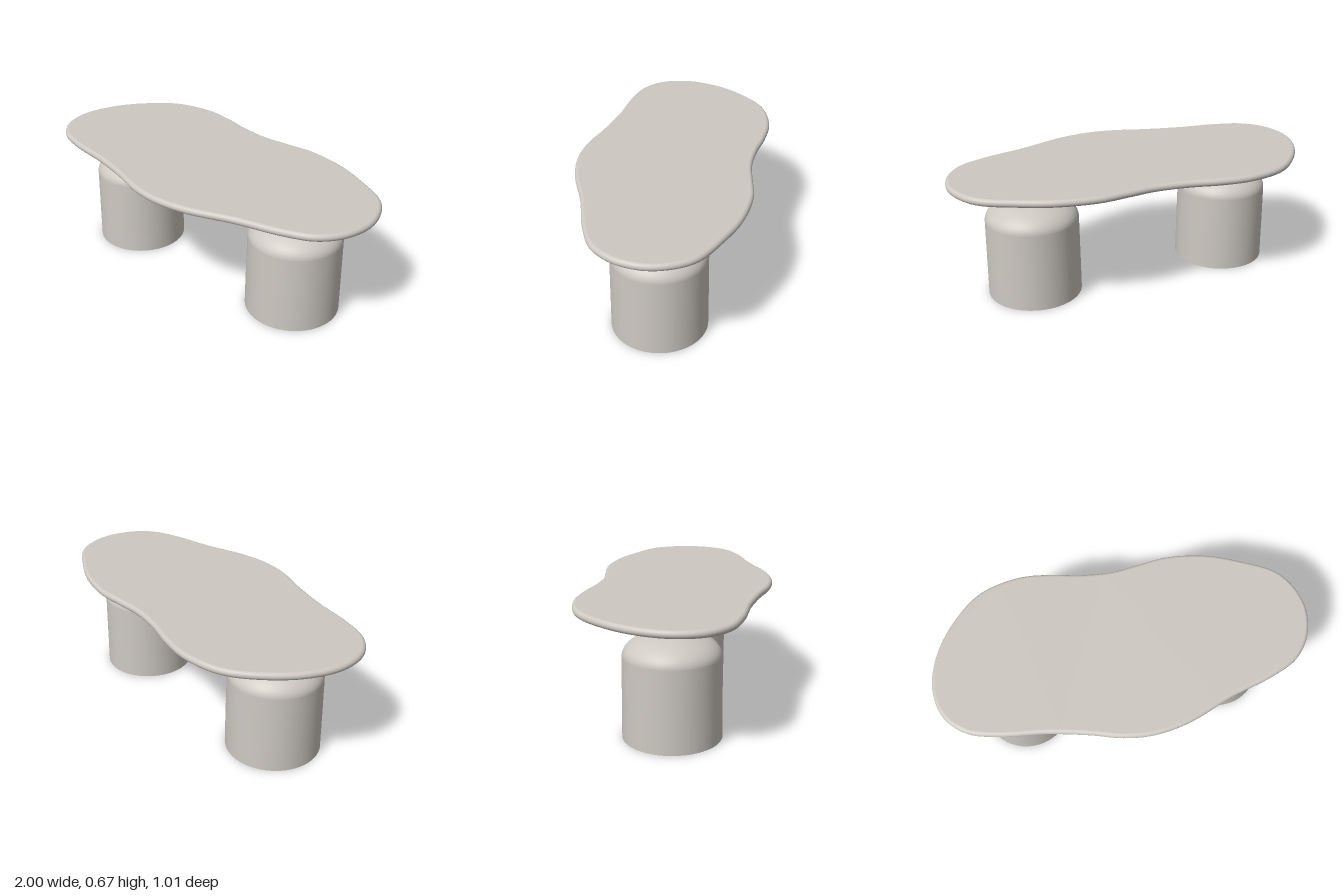
import * as THREE from 'three';
import { mergeGeometries } from 'three/addons/utils/BufferGeometryUtils.js';

const stone = new THREE.MeshStandardMaterial({ color: 0xcdc8c1 });
stone.name = 'warm grey stone';

// Freeform outline of the top as (x, z) points, running round the table
const OUTLINE = [
  [-0.465, -0.51], [-0.68, -0.46], [-0.85, -0.315], [-0.957, -0.15], [-1, 0.02],
  [-0.968, 0.176], [-0.866, 0.283], [-0.716, 0.335], [-0.465, 0.376], [-0.262, 0.428],
  [-0.1, 0.48], [0.06, 0.5], [0.246, 0.475], [0.487, 0.392], [0.727, 0.328],
  [0.872, 0.262], [0.963, 0.15], [1, 0], [0.973, -0.134], [0.904, -0.241],
  [0.727, -0.346], [0.567, -0.415], [0.353, -0.455], [0.19, -0.444], [0.043, -0.433],
  [-0.13, -0.453], [-0.29, -0.492],
];

// Slab with a half-round edge: rings of the outline, inset along its normal
function slabGeometry(yMid, r) {
  const N = 200, K = 12;
  const curve = new THREE.CatmullRomCurve3(OUTLINE.map(([x, z]) => new THREE.Vector3(x, 0, z)), true);
  const ring = Array.from({ length: N }, (_, i) => {
    const p = curve.getPointAt(i / N), t = curve.getTangentAt(i / N);
    return { x: p.x, z: p.z, nx: -t.z, nz: t.x };
  });
  const pos = [], norm = [], uv = [], index = [];
  for (let k = 0; k <= K; k++) {
    const a = -Math.PI / 2 + (Math.PI * k) / K, c = Math.cos(a), s = Math.sin(a);
    for (const q of ring) {
      pos.push(q.x - q.nx * r * (1 - c), yMid + r * s, q.z - q.nz * r * (1 - c));
      norm.push(q.nx * c, s, q.nz * c);
      uv.push(0, 0);
    }
  }
  for (let k = 0; k < K; k++) {
    for (let i = 0; i < N; i++) {
      const a = k * N + i, b = k * N + ((i + 1) % N);
      index.push(a, a + N, b, b, a + N, b + N);
    }
  }
  const rim = new THREE.BufferGeometry();
  rim.setAttribute('position', new THREE.Float32BufferAttribute(pos, 3));
  rim.setAttribute('normal', new THREE.Float32BufferAttribute(norm, 3));
  rim.setAttribute('uv', new THREE.Float32BufferAttribute(uv, 2));
  rim.setIndex(index);

  // Flat faces above and below
  const inset = (sign) => new THREE.Shape(ring.map((q) =>
    new THREE.Vector2(q.x - q.nx * r, sign * (q.z - q.nz * r))));
  const top = new THREE.ShapeGeometry(inset(-1)).rotateX(-Math.PI / 2).translate(0, yMid + r, 0);
  const bottom = new THREE.ShapeGeometry(inset(1)).rotateX(Math.PI / 2).translate(0, yMid - r, 0);

  // Turn the rim faces outward if the outline runs the other way
  const v = (i) => new THREE.Vector3().fromBufferAttribute(rim.attributes.position, i);
  const o = (K / 2) * N;
  const face = v(o + N).sub(v(o)).cross(v(o + 1).sub(v(o)));
  const out = new THREE.Vector3().fromBufferAttribute(rim.attributes.normal, o);
  if (face.dot(out) < 0) rim.setIndex(index.reverse());
  return mergeGeometries([rim, top, bottom]);
}

// Quarter of an ellipse as lathe points, from angle a0 to a1
function arc(rx, ry, cy, a0, a1, n = 16) {
  return Array.from({ length: n + 1 }, (_, i) => {
    const a = a0 + ((a1 - a0) * i) / n;
    return new THREE.Vector2(Math.max(0, rx * Math.cos(a)), cy + ry * Math.sin(a));
  });
}

function createLeg(x) {
  const leg = new THREE.Group();
  leg.name = x > 0 ? 'leftLeg' : 'rightLeg';
  leg.position.set(x, 0, -0.011);
  const add = (name, geometry) => {
    const mesh = new THREE.Mesh(geometry, stone);
    mesh.name = name;
    leg.add(mesh);
  };
  // Slightly tapered drum with a domed crown
  add('drum', new THREE.LatheGeometry(
    [new THREE.Vector2(0.252, 0), new THREE.Vector2(0.25, 0.2),
      ...arc(0.247, 0.12, 0.422, 0, Math.PI / 2)], 64));
  add('drumBase', new THREE.CircleGeometry(0.252, 64).rotateX(Math.PI / 2));
  // Shallow bowl resting on the crown, carrying the top
  add('bowl', new THREE.LatheGeometry(
    arc(0.25, 0.13, 0.67, -Math.PI / 2, -Math.asin(0.035 / 0.13)), 64));
  return leg;
}

export function createModel() {
  const table = new THREE.Group();
  table.name = 'table';
  const top = new THREE.Mesh(slabGeometry(0.65, 0.02), stone);
  top.name = 'tableTop';
  table.add(top, createLeg(-0.57), createLeg(0.57));
  return table;
}
